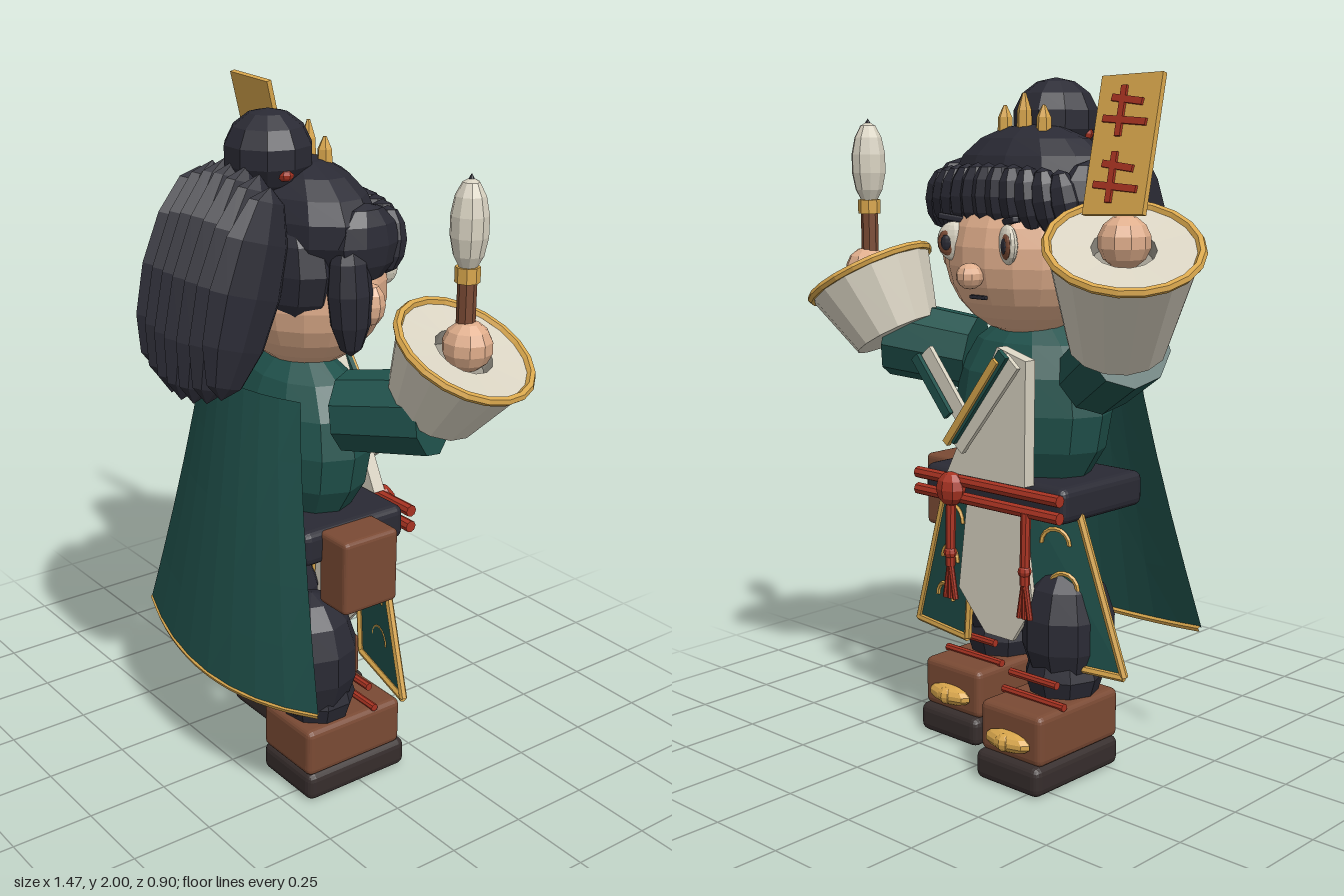
import * as THREE from 'three';
import { RoundedBoxGeometry } from 'three/addons/geometries/RoundedBoxGeometry.js';

const paint = (name, color, side = THREE.FrontSide) => {
  const m = new THREE.MeshStandardMaterial({ color, flatShading: true, side });
  m.name = name;
  return m;
};
const V = (x, y, z) => new THREE.Vector3(x, y, z);
const UP = V(0, 1, 0);

export function createModel() {
  const green = paint('robe green', 0x20524c, THREE.DoubleSide);
  const dark = paint('ink hair', 0x2a2a34);
  const sole = paint('sole', 0x362d2c);
  const brown = paint('leather', 0x7a4a34);
  const cream = paint('linen', 0xd8d2c1, THREE.DoubleSide);
  const gold = paint('gold', 0xd8a64c);
  const skin = paint('skin', 0xdfad8b);
  const red = paint('cord red', 0xa83322);
  const shade = paint('cuff lining', 0x99958a, THREE.DoubleSide);

  const model = new THREE.Group();
  model.name = 'figure';
  // everything but the arms and hand-held props hangs on the body
  const body = new THREE.Group();
  body.name = 'body';
  body.position.x = 0.015;
  model.add(body);

  const add = (name, geo, mat, pos = [0, 0, 0], rot = [0, 0, 0], parent = body) => {
    const m = new THREE.Mesh(geo, mat);
    m.name = name;
    m.position.set(...pos);
    m.rotation.set(...rot);
    parent.add(m);
    return m;
  };
  const ball = (name, mat, pos, r, rot, seg = 12, parent = body) => {
    const g = new THREE.SphereGeometry(1, seg, Math.max(6, Math.round(seg * 0.7)));
    g.scale(...r);
    return add(name, g, mat, pos, rot, parent);
  };
  const box = (name, mat, pos, size, r = 0.02, rot) =>
    add(name, new RoundedBoxGeometry(...size, 2, r), mat, pos, rot);
  // straight rod or cone between two points
  const rod = (name, mat, a, b, r0, r1 = r0, seg = 8, parent = body) => {
    const d = b.clone().sub(a);
    const m = add(name, new THREE.CylinderGeometry(r1, r0, d.length(), seg), mat, [0, 0, 0], [0, 0, 0], parent);
    m.position.copy(a).addScaledVector(d, 0.5);
    m.quaternion.setFromUnitVectors(UP, d.normalize());
    return m;
  };
  const plate = (name, mat, pts, z, depth = 0.015) => {
    const s = new THREE.Shape(pts.map(p => new THREE.Vector2(...p)));
    return add(name, new THREE.ExtrudeGeometry(s, { depth, bevelEnabled: false }), mat, [0, 0, z]);
  };

  // boots and puffy trousers, the right foot steps forward
  for (const s of [1, -1]) {
    const x = 0.193 * s, z = s > 0 ? 0.013 : -0.137;
    box('bootSole', sole, [x, 0.05, z], [0.245, 0.09, 0.365], 0.025);
    box('boot', brown, [x, 0.165, z + 0.01], [0.235, 0.15, 0.345], 0.02);
    ball('toeOrnament', gold, [x, 0.147, z - 0.168], [0.085, 0.03, 0.034], undefined, 10);
    ball('toeBoss', gold, [x, 0.147, z - 0.185], [0.03, 0.026, 0.024], undefined, 8);
    ball('trouserLeg', dark, [x, 0.42, z + 0.09], [0.137, 0.21, 0.143], undefined, 10);
    ball('trouserCuff', dark, [x, 0.29, z + 0.07], [0.12, 0.1, 0.115], undefined, 9);
    for (const [y, w] of [[0.245, 0.118], [0.303, 0.09]])
      rod('bootLace', red, V(x - w, y, z - 0.06), V(x + w, y, z - 0.06), 0.012);
  }

  // torso and belt
  ball('torso', green, [0, 1.05, 0.01], [0.27, 0.28, 0.175], undefined, 12);
  box('belt', dark, [0, 0.813, 0.01], [0.56, 0.105, 0.36], 0.025);
  box('pouch', brown, [0.325, 0.75, 0.035], [0.125, 0.225, 0.19], 0.015);

  // layered front cloth and crossed lapels
  plate('chestCloth', cream, [[0.15, 0.86], [-0.16, 0.86], [-0.165, 1.22], [-0.055, 1.25]], -0.2, 0.04);
  plate('frontFlap', cream, [[0.105, 0.8], [0.145, 0.5], [0.035, 0.38], [-0.075, 0.38], [-0.155, 0.5], [-0.115, 0.8]], -0.16);
  const lapel = (name, mat, a, b, w, z) => {
    const len = Math.hypot(b[0] - a[0], b[1] - a[1]);
    add(name, new THREE.BoxGeometry(len, w, 0.015), mat,
      [(a[0] + b[0]) / 2, (a[1] + b[1]) / 2, z], [0, 0, Math.atan2(b[1] - a[1], b[0] - a[0])]);
  };
  lapel('lapelLining', cream, [0.215, 1.215], [0.07, 1.04], 0.05, -0.215);
  lapel('lapelEdge', green, [0.235, 1.2], [0.1, 1.04], 0.03, -0.24);
  lapel('lapelLining', cream, [-0.135, 1.22], [0.085, 0.95], 0.06, -0.22);
  lapel('lapelEdge', green, [-0.115, 1.24], [0.095, 0.97], 0.035, -0.235);
  lapel('lapelTrim', gold, [-0.095, 1.22], [0.105, 0.96], 0.022, -0.245);

  // cord sash, knot and tassels
  for (const y of [0.79, 0.84]) rod('sashCord', red, V(-0.29, y, -0.195), V(0.28, y, -0.195), 0.018);
  ball('sashKnot', red, [0.125, 0.815, -0.21], [0.05, 0.052, 0.038], undefined, 8);
  for (const x of [0.13, -0.17]) {
    rod('tasselCord', red, V(x, 0.79, -0.205), V(x, 0.58, -0.21), 0.015);
    ball('tasselBead', red, [x, 0.62, -0.21], [0.02, 0.02, 0.02], undefined, 8);
    for (const d of [-0.015, 0, 0.015]) rod('tasselStrand', red, V(x, 0.6, -0.21), V(x + d * 1.4, 0.48, -0.21), 0.009);
  }

  // skirt panels with gold edging and arcs
  for (const s of [1, -1]) {
    const c = [V(0.09, 0.84, -0.14), V(0.25, 0.84, -0.09), V(0.42, 0.325, -0.065), V(0.14, 0.335, -0.13)];
    c.forEach(p => (p.x *= s));
    const g = new THREE.BufferGeometry().setFromPoints(c);
    g.setIndex([0, 1, 2, 0, 2, 3]);
    g.computeVertexNormals();
    add('skirtPanel', g, green);
    for (let i = 1; i < 4; i++) rod('skirtTrim', gold, c[i], c[(i + 1) % 4], 0.012, 0.012, 6);
    for (const v of [0.3, 0.55, 0.8]) {
      const p = c[0].clone().lerp(c[3], v).lerp(c[1].clone().lerp(c[2], v), 0.5);
      add('skirtArc', new THREE.TorusGeometry(0.045, 0.007, 5, 8, Math.PI), gold, [p.x, p.y, p.z - 0.006], [0, -0.25 * s, 0]);
    }
  }

  // flared cape
  const capePoint = (u, v) => V(
    u * (0.245 + 0.2 * v ** 1.25),
    THREE.MathUtils.lerp(1.25, 0.355 + 0.045 * u * u, v),
    0.245 + 0.1 * v - (0.065 + 0.015 * v) * u * u);
  const cape = new THREE.PlaneGeometry(2, 1, 8, 5), cp = cape.attributes.position;
  for (let i = 0; i < cp.count; i++) {
    const p = capePoint(cp.getX(i), 0.5 - cp.getY(i));
    cp.setXYZ(i, p.x, p.y, p.z);
  }
  cape.computeVertexNormals();
  add('cape', cape, green);
  const hem = Array.from({ length: 9 }, (_, i) => capePoint(i / 4 - 1, 1).add(V(0, -0.004, -0.004)));
  add('capeHem', new THREE.TubeGeometry(new THREE.CatmullRomCurve3(hem), 16, 0.009, 5), gold);

  // arms, wide cuffs and hands
  const arm = (side, shoulder, elbow, wrist, rim, rimR) => {
    const axis = rim.clone().sub(wrist), h = axis.length();
    axis.normalize();
    rod(side + 'Sleeve', green, shoulder, elbow, 0.115, 0.12, 9, model);
    const cuff = new THREE.Group();
    cuff.name = side + 'Cuff';
    cuff.position.copy(wrist);
    cuff.quaternion.setFromUnitVectors(UP, axis);
    model.add(cuff);
    const lathe = pts => new THREE.LatheGeometry(pts.map(p => new THREE.Vector2(...p)), 14);
    add('cuffCloth', lathe([[0, 0], [0.135, 0], [rimR, h], [rimR - 0.012, h], [0.085, h - 0.006]]), cream, [0, 0, 0], [0, 0, 0], cuff);
    add('cuffHole', lathe([[0.085, h - 0.006], [0.08, h - 0.05], [0, h - 0.05]]), shade, [0, 0, 0], [0, 0, 0], cuff);
    add('cuffTrim', new THREE.TorusGeometry(rimR - 0.003, 0.013, 6, 20), gold, [0, h, 0], [Math.PI / 2, 0, 0], cuff);
    ball(side + 'Hand', skin, rim.clone().addScaledVector(axis, 0.015).toArray(), [0.07, 0.07, 0.07], undefined, 10, model);
  };
  arm('right', V(-0.23, 1.165, 0.01), V(-0.455, 1.285, -0.125), V(-0.43, 1.29, -0.14), V(-0.54, 1.56, -0.252), 0.203);
  arm('left', V(0.25, 1.185, 0.01), V(0.485, 1.225, -0.1), V(0.455, 1.235, -0.12), V(0.552, 1.415, -0.143), 0.198);

  // writing brush
  const bx = 0.55, bz = -0.143;
  rod('brushHandle', brown, V(bx, 1.38, bz), V(bx, 1.61, bz), 0.026, 0.026, 8, model);
  rod('brushFerrule', gold, V(bx, 1.6, bz), V(bx, 1.642, bz), 0.034, 0.034, 8, model);
  ball('brushBristles', cream, [bx, 1.75, bz], [0.053, 0.125, 0.053], undefined, 10, model);
  add('brushTip', new THREE.ConeGeometry(0.026, 0.045, 8), dark, [bx, 1.862, bz], [0, 0, 0], model);

  // paper charm with abstract red stripes
  const charm = new THREE.Group();
  charm.name = 'paperCharm';
  charm.position.set(-0.538, 1.815, -0.255);
  charm.rotation.set(0.265, 0, -0.04);
  model.add(charm);
  add('paper', new THREE.BoxGeometry(0.195, 0.36, 0.016), gold, [0, 0, 0], [0, 0, 0], charm);
  for (const y of [0.085, -0.085]) {
    for (const [dx, dy, w, h, r] of [[0, 0.028, 0.1, 0.018, 0.15], [0, -0.025, 0.14, 0.018, 0.1], [0.015, 0, 0.018, 0.13, 0]])
      add('charmStripe', new THREE.BoxGeometry(w, h, 0.009), red, [dx, y + dy, -0.0115], [0, 0, r], charm);
  }

  // head and face
  ball('head', skin, [0, 1.5, -0.015], [0.25, 0.235, 0.225], undefined, 18);
  ball('nose', skin, [0, 1.45, -0.25], [0.04, 0.037, 0.04], undefined, 10);
  for (const s of [1, -1]) {
    ball('ear', skin, [0.262 * s, 1.49, -0.045], [0.04, 0.06, 0.04], undefined, 8);
    ball('eye', cream, [0.106 * s, 1.54, -0.207], [0.05, 0.056, 0.022], [0, 0.42 * s, 0], 14);
    ball('iris', brown, [0.112 * s, 1.537, -0.223], [0.032, 0.038, 0.01], [0, 0.42 * s, 0], 12);
    ball('pupil', dark, [0.113 * s, 1.537, -0.23], [0.018, 0.023, 0.007], [0, 0.42 * s, 0], 8);
    box('eyebrow', dark, [0.11 * s, 1.605, -0.203], [0.09, 0.018, 0.02], 0.005, [0, 0.42 * s, 0.15 * s]);
  }
  box('mouth', dark, [0, 1.388, -0.216], [0.06, 0.011, 0.014], 0.003);

  // hair cap, side locks, fringe and bun
  ball('hairCap', dark, [0, 1.69, 0.015], [0.288, 0.18, 0.175], undefined, 13);
  ball('hairBack', dark, [0, 1.58, 0.09], [0.24, 0.21, 0.13], undefined, 12);
  for (const s of [1, -1]) {
    ball('sideLock', dark, [0.255 * s, 1.53, 0.025], [0.063, 0.175, 0.065], [0, 0, 0.06 * s], 9);
    ball('templeHair', dark, [0.25 * s, 1.66, -0.03], [0.058, 0.11, 0.11], undefined, 9);
  }
  for (let i = -5; i <= 5; i++) {
    const k = i / 5;
    ball('fringeLock', dark, [0.235 * k, 1.67 - 0.015 * k * k, -0.172 + 0.055 * k * k],
      [0.048, 0.092, 0.055], [0, -0.7 * k, 0.2 * k], 8);
  }
  ball('bun', dark, [0, 1.88, 0.11], [0.127, 0.12, 0.127], undefined, 10);
  for (const s of [1, -1]) ball('bunTie', red, [0.1 * s, 1.84, 0.125], [0.023, 0.02, 0.024], undefined, 8);
  for (const [x, h] of [[-0.075, 0.075], [0, 0.11], [0.075, 0.075]]) {
    const y = 1.845, cut = y + h * 0.55;
    rod('crownProng', gold, V(x, y - 0.03, -0.025), V(x, cut, -0.025), 0.024, 0.021, 6);
    rod('crownTip', gold, V(x, cut, -0.025), V(x, y + h, -0.025), 0.021, 0.005, 6);
  }

  // long ponytail made of side-by-side strands
  for (let i = -3; i <= 3; i++) {
    const k = Math.abs(i) / 3;
    ball('ponytailStrand', dark, [i * 0.056 - 0.01, 1.55, 0.305 - 0.008 * k],
      [0.052, 0.335 - 0.045 * k * k, 0.117], [-0.29, 0, 0], 8);
  }
  return model;
}
